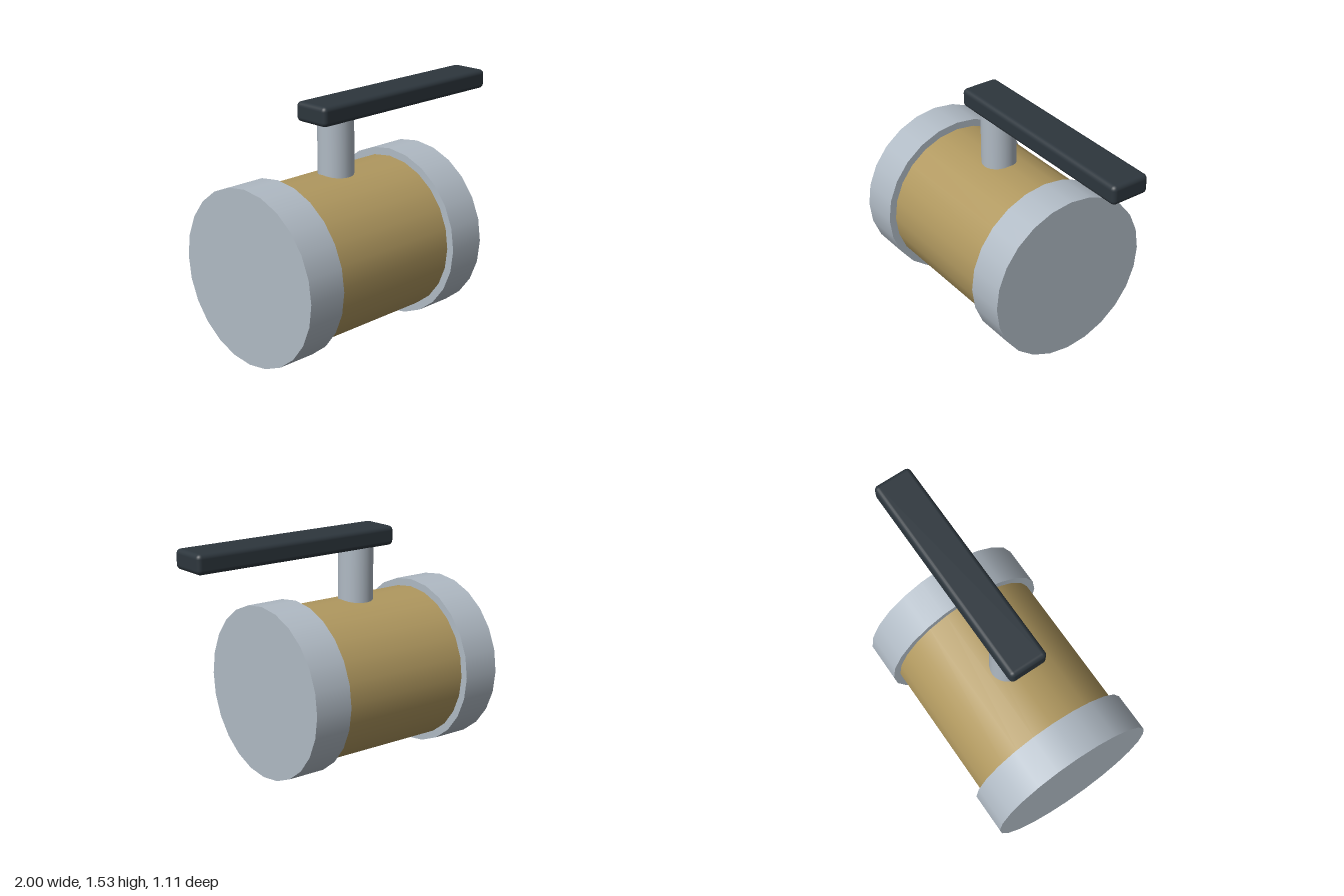
import * as THREE from 'three';
import { RoundedBoxGeometry } from 'three/addons/geometries/RoundedBoxGeometry.js';

const AXIS_Y = 0.557; // height of the pipe axis
const MID_X = -0.2625; // middle of the valve body

export function createModel() {
  const group = new THREE.Group();
  const steel = new THREE.MeshStandardMaterial({ color: 0xb0bac4 });
  const brass = new THREE.MeshStandardMaterial({ color: 0xb0985f });
  const dark = new THREE.MeshStandardMaterial({ color: 0x2d363d });

  const add = (name, geometry, material, x, y) => {
    const mesh = new THREE.Mesh(geometry, material);
    mesh.name = name;
    mesh.position.set(x, y, 0);
    group.add(mesh);
    return mesh;
  };
  // Cylinder lying along x
  const pipe = (radius, length) =>
    new THREE.CylinderGeometry(radius, radius, length, 24).rotateZ(Math.PI / 2);

  // Brass body between two wider end collars
  add('valveBody', pipe(0.508, 0.975), brass, MID_X, AXIS_Y);
  for (const [name, side] of [['leftCollar', 1], ['rightCollar', -1]]) {
    add(name, pipe(0.557, 0.26), steel, MID_X + side * 0.6075, AXIS_Y);
  }

  // Stem rising from the body into the lever
  add('stem', new THREE.CylinderGeometry(0.1135, 0.1135, 0.42, 24), steel, MID_X, 1.2);

  // Lever handle, offset towards +x
  add('leverHandle', new RoundedBoxGeometry(1.475, 0.125, 0.256, 3, 0.03), dark, 0.2625, 1.463);

  return group;
}
